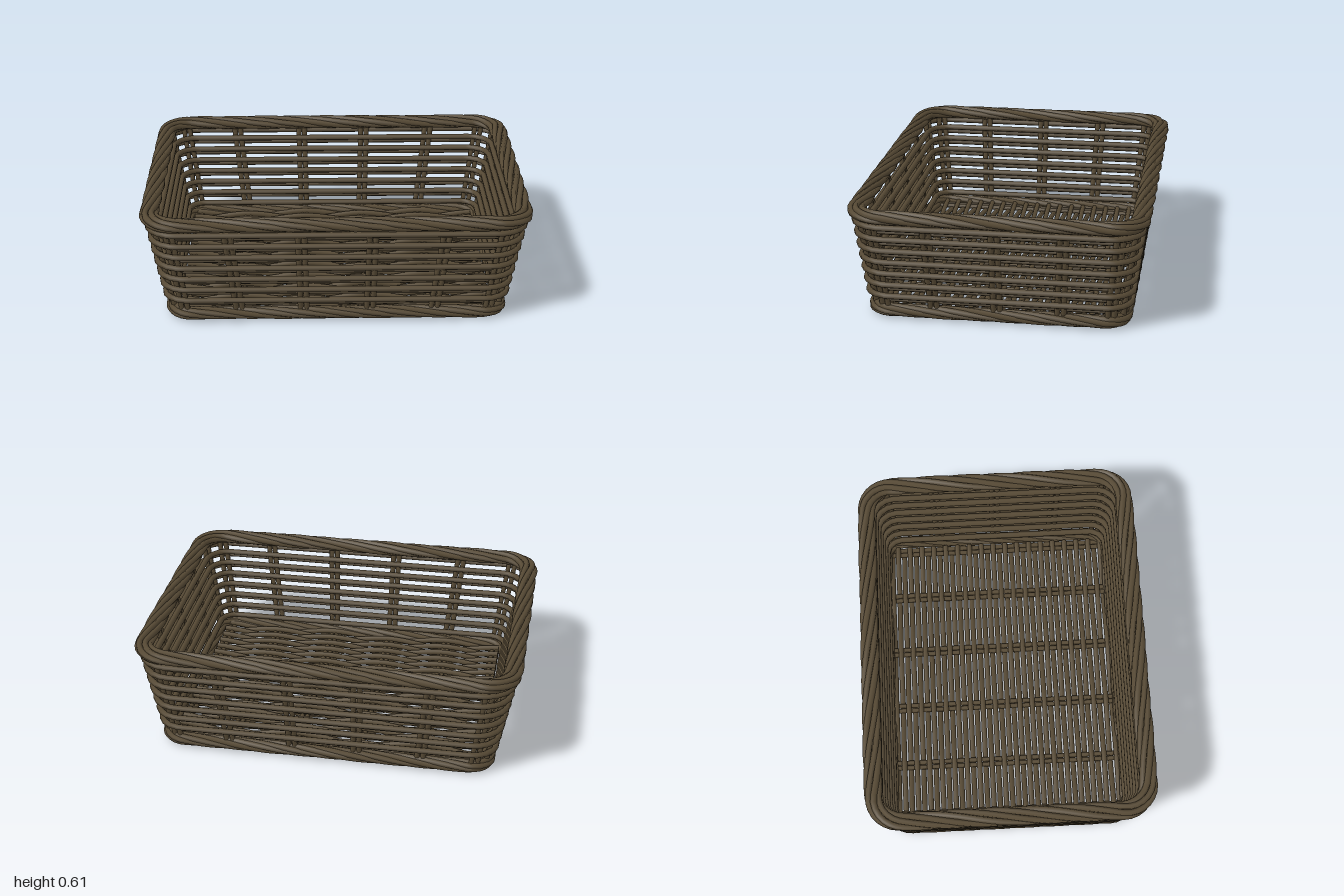
import * as THREE from 'three';

const wicker = new THREE.MeshStandardMaterial({ color: 0x574a35, side: THREE.DoubleSide });
wicker.name = 'dark wicker';

// Half width, half depth and corner radius of the flaring wall at height y
const halfX = y => 0.85 + 0.19 * (y - 0.045);
const halfZ = y => 0.64 + 0.13 * (y - 0.045);
const corner = y => 0.1 + 0.08 * (y - 0.045);

// Point (x, z) and outward normal on the rounded outline, t running 0..1
function outline(y, t) {
  const r = corner(y), a = halfX(y) - r, b = halfZ(y) - r, arc = Math.PI * r / 2;
  const sides = [2 * b, 2 * a, 2 * b, 2 * a];
  const starts = [[a, -b], [a, b], [-a, b], [-a, -b]];
  let d = (((t % 1) + 1) % 1) * (4 * (a + b + arc));
  for (let i = 0; i < 4; i++) {
    const ang = i * Math.PI / 2;
    const nx = Math.cos(ang), nz = Math.sin(ang);
    if (d <= sides[i]) {
      return { x: starts[i][0] + nx * r - nz * d, z: starts[i][1] + nz * r + nx * d, nx, nz };
    }
    d -= sides[i];
    if (d <= arc || i === 3) {
      const c = starts[(i + 1) % 4], q = ang + d / r;
      return { x: c[0] + Math.cos(q) * r, z: c[1] + Math.sin(q) * r, nx: Math.cos(q), nz: Math.sin(q) };
    }
    d -= arc;
  }
}

class RuleCurve extends THREE.Curve {
  constructor(rule) { super(); this.rule = rule; }
  getPoint(t, target = new THREE.Vector3()) { return target.set(...this.rule(t)); }
}

function rod(name, rule, segments, radius, closed = false) {
  const geometry = new THREE.TubeGeometry(new RuleCurve(rule), segments, radius, 6, closed);
  const mesh = new THREE.Mesh(geometry, wicker);
  mesh.name = name;
  return mesh;
}

// Strands twisted around the outline at height y
function rope(name, y, strands, wraps, spreadOut, spreadUp, radius) {
  const group = new THREE.Group();
  group.name = name;
  for (let s = 0; s < strands; s++) {
    group.add(rod('ropeStrand', t => {
      const p = outline(y, t), q = Math.PI * 2 * (s / strands + wraps * t);
      const out = Math.cos(q) * spreadOut;
      return [p.x + p.nx * out, y + Math.sin(q) * spreadUp, p.z + p.nz * out];
    }, 180, radius, true));
  }
  return group;
}

// Distance along the other axis where the outline is met at offset u
function edge(u, along, across, r) {
  const over = Math.max(0, Math.abs(u) - (along - r));
  return across - r + Math.sqrt(Math.max(0, r * r - over * over));
}

export function createModel() {
  const basket = new THREE.Group();
  basket.name = 'wickerBasket';

  basket.add(rope('rim', 0.575, 6, 6, 0.033, 0.02, 0.017));
  basket.add(rope('baseBraid', 0.045, 6, 6, 0.021, 0.019, 0.016));

  // Wall rows, alternately outside and inside the stakes
  const walls = new THREE.Group();
  walls.name = 'wallWeave';
  for (let i = 0; i < 14; i++) {
    const y = 0.1 + i * 0.0325, out = i % 2 ? 0.02 : -0.02;
    walls.add(rod('wallRow', t => {
      const p = outline(y, t);
      return [p.x + p.nx * out, y, p.z + p.nz * out];
    }, 130, 0.0165, true));
  }
  basket.add(walls);

  // Paired upright stakes: u is given at the bottom and the top
  const stakes = new THREE.Group();
  stakes.name = 'stakes';
  const addStakes = (low, high, onFront) => {
    for (const side of [-1, 1]) for (const gap of [-0.016, 0.016]) {
      stakes.add(rod('stake', t => {
        const y = 0.04 + 0.54 * t, u = low + (high - low) * t + gap;
        const hx = halfX(y), hz = halfZ(y), r = corner(y);
        return onFront ? [u, y, side * edge(u, hx, hz, r)] : [side * edge(u, hz, hx, r), y, u];
      }, 6, 0.0145));
    }
  };
  for (const m of [-1, 1]) {
    for (const [low, high] of [[0.17, 0.182], [0.5, 0.56], [0.78, 0.855]]) addStakes(m * low, m * high, true);
    for (const [low, high] of [[0.32, 0.345], [0.57, 0.625]]) addStakes(m * low, m * high, false);
  }
  addStakes(0, 0, false);
  basket.add(stakes);

  // Floor: paired ribs front to back, with rods woven across them
  const floor = new THREE.Group();
  floor.name = 'floor';
  for (const x of [-0.785, -0.5, -0.167, 0.167, 0.5, 0.785]) {
    for (const gap of [-0.014, 0.014]) {
      floor.add(rod('floorRib', t => [x + gap, 0.036, -0.63 + 1.26 * t], 2, 0.013));
    }
  }
  for (let i = 0; i < 36; i++) {
    const z = -0.604 + i * 0.0345, s = i % 2 ? 1 : -1;
    floor.add(rod('floorRod', t => {
      const x = -0.81 + 1.62 * t;
      return [x, 0.036 + s * 0.018 * Math.cos(Math.PI * (x - 0.165) / 0.33), z];
    }, 40, 0.0145));
  }
  basket.add(floor);

  return basket;
}
